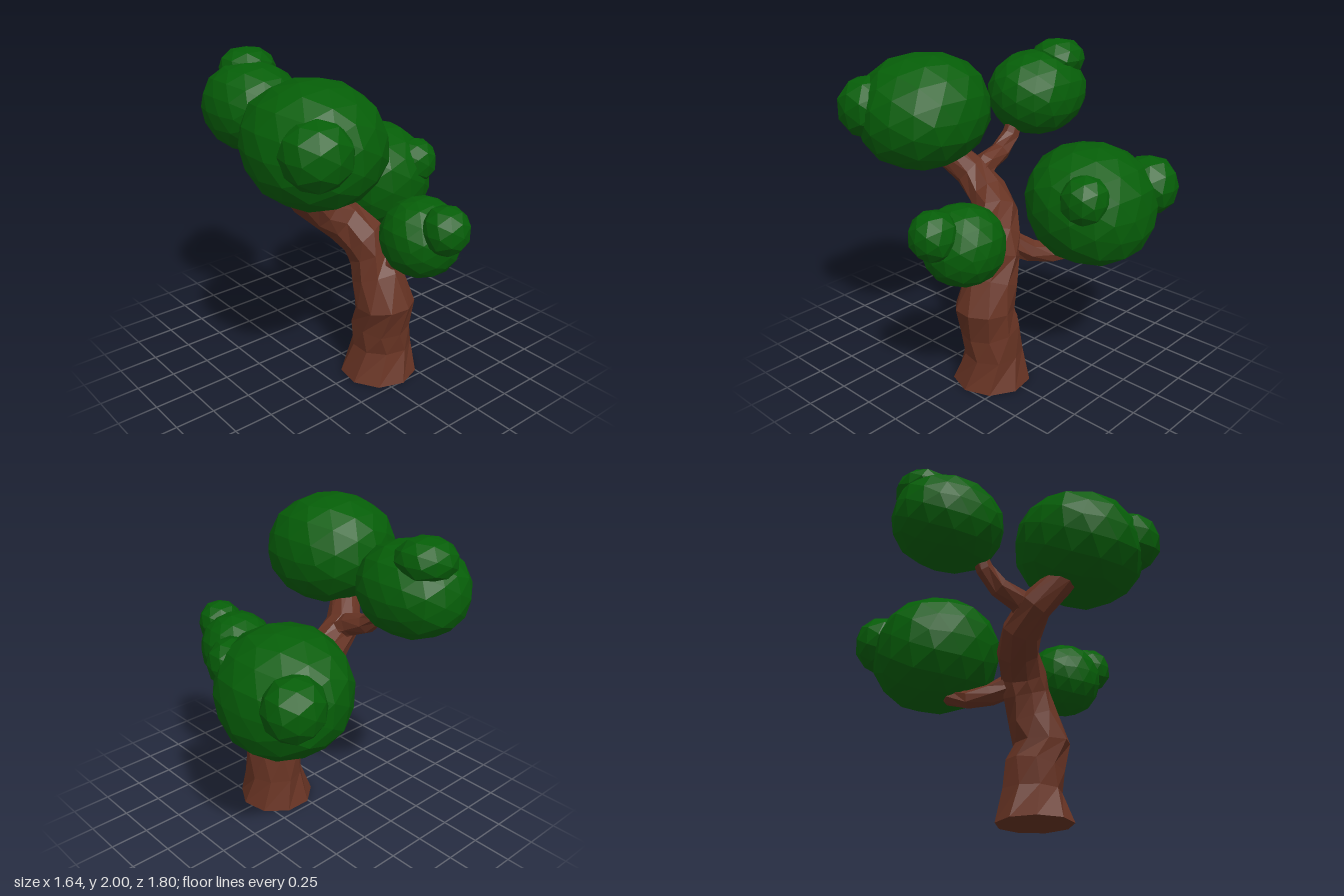
import * as THREE from 'three';

const bark = new THREE.MeshStandardMaterial({ color: 0x673323 });
bark.name = 'barkBrown';
const leaf = new THREE.MeshStandardMaterial({ color: 0x065e08 });
leaf.name = 'leafGreen';

// Repeatable value in -1..1 for a position, so shared corners move together
function noise(x, y, z) {
  const s = Math.sin(Math.round(x * 1000) * 12.99 + Math.round(y * 1000) * 78.23 + Math.round(z * 1000) * 37.72) * 4375.85;
  return (s - Math.floor(s)) * 2 - 1;
}

function flatMesh(geometry, material, name) {
  const flat = geometry.index ? geometry.toNonIndexed() : geometry;
  flat.computeVertexNormals();
  const mesh = new THREE.Mesh(flat, material);
  mesh.name = name;
  return mesh;
}

// Faceted limb through stations [x, y, z, radius], capped at both ends
function limb(name, stations, sides, rough) {
  const centres = stations.map(s => new THREE.Vector3(s[0], s[1], s[2]));
  const turn = new THREE.Quaternion();
  const previous = new THREE.Vector3(0, 1, 0);
  const positions = [], index = [];
  centres.forEach((c, i) => {
    const isBase = i === 0 && c.y === 0;
    const tangent = isBase ? new THREE.Vector3(0, 1, 0)
      : centres[Math.min(i + 1, centres.length - 1)].clone().sub(centres[Math.max(i - 1, 0)]).normalize();
    turn.premultiply(new THREE.Quaternion().setFromUnitVectors(previous, tangent));
    previous.copy(tangent);
    for (let j = 0; j < sides; j++) {
      const a = (j + (i % 2) * 0.3) / sides * Math.PI * 2;
      const r = stations[i][3] * (1 + (isBase ? 0 : rough) * noise(i + 1, j + 1, sides));
      const p = new THREE.Vector3(Math.sin(a) * r, 0, Math.cos(a) * r).applyQuaternion(turn).add(c);
      positions.push(p.x, p.y, p.z);
    }
  });
  for (let i = 0; i < centres.length - 1; i++) {
    for (let j = 0; j < sides; j++) {
      const a = i * sides + j, b = i * sides + (j + 1) % sides;
      index.push(a, b, b + sides, a, b + sides, a + sides);
    }
  }
  const last = (centres.length - 1) * sides;
  for (let j = 1; j < sides - 1; j++) {
    index.push(0, j + 1, j, last, last + j, last + j + 1);
  }
  const g = new THREE.BufferGeometry();
  g.setAttribute('position', new THREE.Float32BufferAttribute(positions, 3));
  g.setIndex(index);
  return flatMesh(g, bark, name);
}

// Faceted, uneven rounded mass of leaves; full above 2 squares it off, lean shifts x and z with height
function clump(name, detail, full, centre, radii, lean = [0, 0]) {
  const g = new THREE.IcosahedronGeometry(1, detail);
  const p = g.attributes.position;
  const v = new THREE.Vector3();
  for (let i = 0; i < p.count; i++) {
    v.fromBufferAttribute(p, i);
    const bulge = (Math.abs(v.x) ** full + Math.abs(v.y) ** full + Math.abs(v.z) ** full) ** (-1 / full);
    v.multiplyScalar(bulge * (1.01 + 0.015 * noise(v.x + centre[0], v.y, v.z)));
    const y = v.y * radii[1];
    p.setXYZ(i, v.x * radii[0] + lean[0] * y, y, v.z * radii[2] + lean[1] * y);
  }
  const mesh = flatMesh(g, leaf, name);
  mesh.position.set(...centre);
  return mesh;
}

export function createModel() {
  const tree = new THREE.Group();
  tree.name = 'tree';

  // Trunk, curving up into the limb of the largest clump
  tree.add(limb('trunk', [
    [0.09, 0, 0.27, 0.245], [0.105, 0.2, 0.265, 0.19], [0.095, 0.36, 0.28, 0.18],
    [0.085, 0.51, 0.325, 0.19], [0.085, 0.68, 0.26, 0.17], [0.07, 0.82, 0.2, 0.15],
    [0.03, 0.93, 0.165, 0.145], [-0.05, 1.03, 0.07, 0.14], [-0.17, 1.12, 0.03, 0.125],
    [-0.31, 1.24, 0.04, 0.11], [-0.46, 1.41, 0.17, 0.09],
  ], 9, 0.06));

  // Side branches
  tree.add(limb('backBranch', [
    [-0.23, 1.19, 0.05, 0.08], [-0.265, 1.27, -0.06, 0.075], [-0.27, 1.32, -0.2, 0.065],
    [-0.27, 1.41, -0.3, 0.055], [-0.27, 1.56, -0.37, 0.045],
  ], 7, 0.06));
  tree.add(limb('leftBranch', [
    [0.08, 0.89, 0.14, 0.085], [0.17, 0.81, 0, 0.07], [0.25, 0.78, -0.12, 0.06],
    [0.34, 0.81, -0.19, 0.055], [0.42, 0.98, -0.25, 0.045],
  ], 7, 0.06));
  tree.add(limb('frontBranch', [
    [0.08, 0.74, 0.24, 0.065], [0.1, 0.77, 0.34, 0.06], [0.14, 0.86, 0.43, 0.05], [0.15, 0.98, 0.52, 0.04],
  ], 7, 0.06));

  // Leaf clumps, each with smaller tufts: name, detail, fullness, centre, radii, lean
  const foliage = [
    ['rightClump', 2, 2.15, [-0.435, 1.655, 0.3], [0.385, 0.345, 0.41], [0, -0.06]],
    ['backClump', 2, 2.15, [-0.265, 1.65, -0.555], [0.295, 0.275, 0.345]],
    ['leftClump', 2, 2.25, [0.445, 1.13, -0.25], [0.375, 0.36, 0.41], [-0.09, 0.03]],
    ['frontClump', 2, 2.1, [0.15, 1.025, 0.555], [0.24, 0.24, 0.245]],
    ['rightTuft', 1, 2.2, [-0.615, 1.695, 0.56], [0.195, 0.19, 0.19]],
    ['backTuft', 1, 2.2, [-0.205, 1.865, -0.69], [0.175, 0.125, 0.175]],
    ['leftBackTuft', 1, 2.2, [0.64, 1.21, -0.565], [0.18, 0.185, 0.17]],
    ['leftFrontTuft', 1, 2.2, [0.595, 1.255, 0.02], [0.145, 0.15, 0.145]],
    ['frontTuft', 1, 2.2, [0.135, 1.14, 0.765], [0.14, 0.145, 0.14]],
  ];
  foliage.forEach(f => tree.add(clump(...f)));

  return tree;
}
